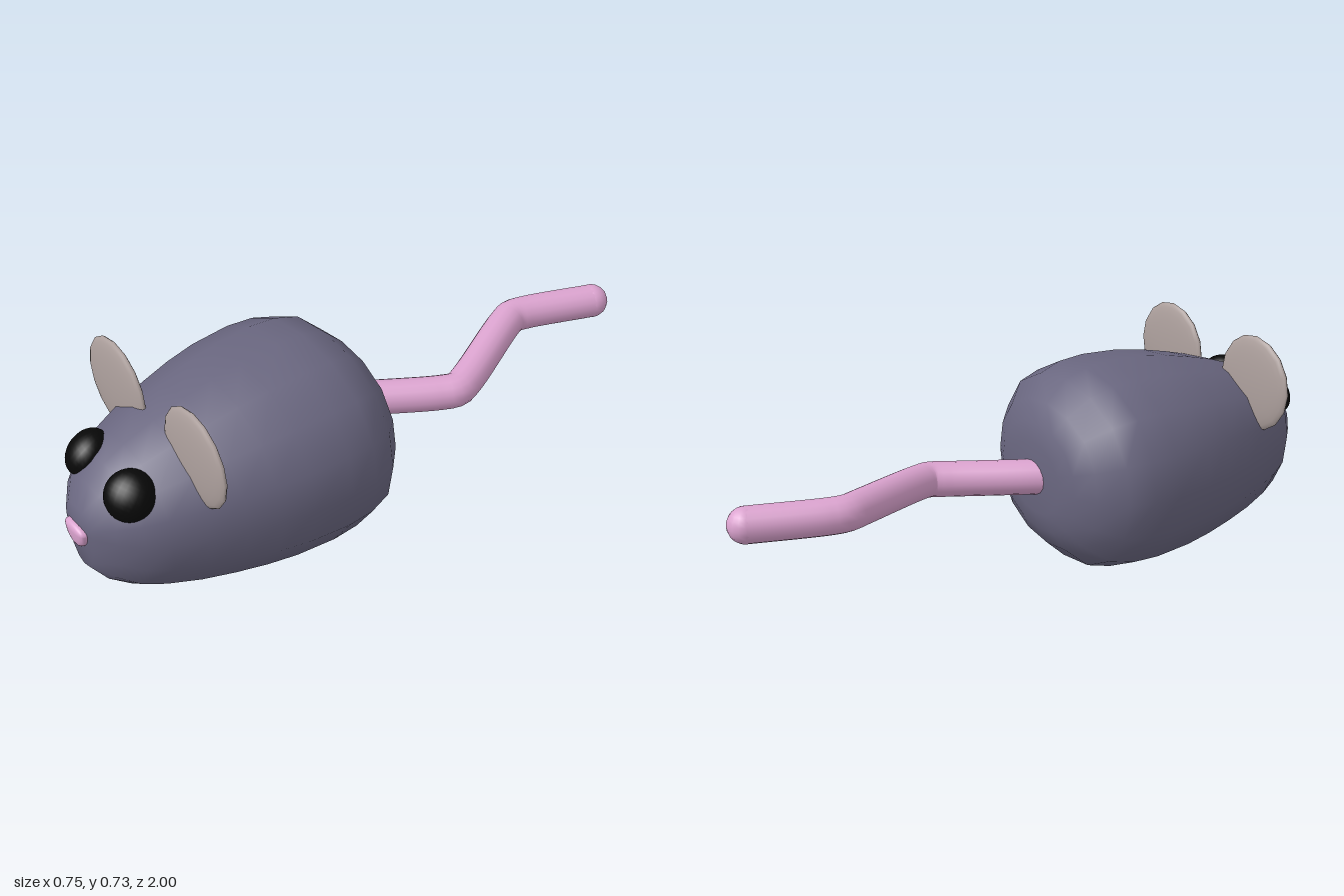
import * as THREE from 'three';
import { mergeVertices } from 'three/addons/utils/BufferGeometryUtils.js';

const material = (name, color) => {
  const m = new THREE.MeshStandardMaterial({ color });
  m.name = name;
  return m;
};

// Moves every vertex by a rule, then rebuilds seamless smooth normals
function reshape(geometry, rule) {
  const p = geometry.attributes.position;
  for (let i = 0; i < p.count; i++) {
    p.setXYZ(i, ...rule(p.getX(i), p.getY(i), p.getZ(i)));
  }
  geometry.deleteAttribute('normal');
  geometry.deleteAttribute('uv');
  const merged = mergeVertices(geometry, 1e-5);
  merged.computeVertexNormals();
  return merged;
}

export function createModel() {
  const model = new THREE.Group();
  model.name = 'mouse';
  const fur = material('slate fur', 0x69667f);
  const earGrey = material('warm grey', 0xaea19e);
  const pink = material('pink', 0xdba3cf);
  const black = material('black', 0x080808);

  const add = (name, geometry, mat) => {
    const mesh = new THREE.Mesh(geometry, mat);
    mesh.name = name;
    model.add(mesh);
    return mesh;
  };

  // Body: a 16-sided turned form lying along z, squarish in section,
  // with the belly and chin kept low towards the front
  const profile = [
    [0, -0.02], [0.13, -0.016], [0.2, -0.002], [0.27, 0.032], [0.343, 0.1],
    [0.369, 0.18], [0.375, 0.27], [0.364, 0.4], [0.344, 0.5], [0.316, 0.6],
    [0.283, 0.7], [0.24, 0.8], [0.2, 0.868], [0.143, 0.925], [0.075, 0.968], [0, 0.982],
  ].map(([r, z]) => new THREE.Vector2(r, z));
  const turned = new THREE.LatheGeometry(profile, 16);
  turned.rotateX(Math.PI / 2);
  const body = reshape(turned, (x, y, z) => {
    const r = Math.hypot(x, y);
    if (r < 1e-6) return [0, 0.334, z];
    const bulge = 1 + 0.035 * Math.sin(2 * Math.atan2(y, x)) ** 2;
    const drop = y < 0 && z > 0.27 ? Math.sqrt(0.375 / r) : 1;
    return [x * bulge, 0.334 + y * bulge * drop * 0.885, z];
  });
  add('body', body, fur);

  // Ears: thin upright lenses
  for (const [name, x] of [['leftEar', 0.2], ['rightEar', -0.22]]) {
    const ear = new THREE.SphereGeometry(1, 16, 14);
    ear.rotateX(Math.PI / 2);
    ear.scale(0.156, 0.156, 0.024);
    ear.translate(x, 0.573, 0.688);
    add(name, ear, earGrey);
  }

  // Eyes: slightly flattened balls facing out of the head
  for (const [name, side] of [['leftEye', 1], ['rightEye', -1]]) {
    const eye = add(name, new THREE.SphereGeometry(1, 24, 16), black);
    eye.scale.set(0.076, 0.076, 0.057);
    eye.position.set(side * 0.119, 0.47, 0.858);
    eye.quaternion.setFromUnitVectors(
      new THREE.Vector3(0, 0, 1),
      new THREE.Vector3(side * 0.5, 0.65, 0.57).normalize(),
    );
  }

  // Nose: a ball with a flattened top and a blunt front
  const nose = reshape(new THREE.SphereGeometry(1, 24, 16), (x, y, z) => [
    x * 0.054,
    0.328 + y * (y > 0 ? 0.023 : 0.058),
    0.959 + Math.sign(z) * Math.abs(z) ** 0.33 * 0.037,
  ]);
  add('nose', nose, pink);

  // Tail: straight runs with tight bends and a rounded tip
  const path = new THREE.CatmullRomCurve3([
    [-0.035, 0.335, 0.06], [0.015, 0.335, -0.03], [0.145, 0.335, -0.25],
    [0.166, 0.338, -0.3], [0.152, 0.344, -0.35], [0.028, 0.377, -0.62],
    [0.011, 0.38, -0.67], [0.02, 0.38, -0.72], [0.103, 0.38, -0.945],
  ].map((v) => new THREE.Vector3(...v)), false, 'centripetal');
  add('tail', new THREE.TubeGeometry(path, 60, 0.056, 16), pink);
  const tip = new THREE.SphereGeometry(0.056, 16, 12);
  tip.translate(0.103, 0.38, -0.945);
  add('tailTip', tip, pink);

  return model;
}
